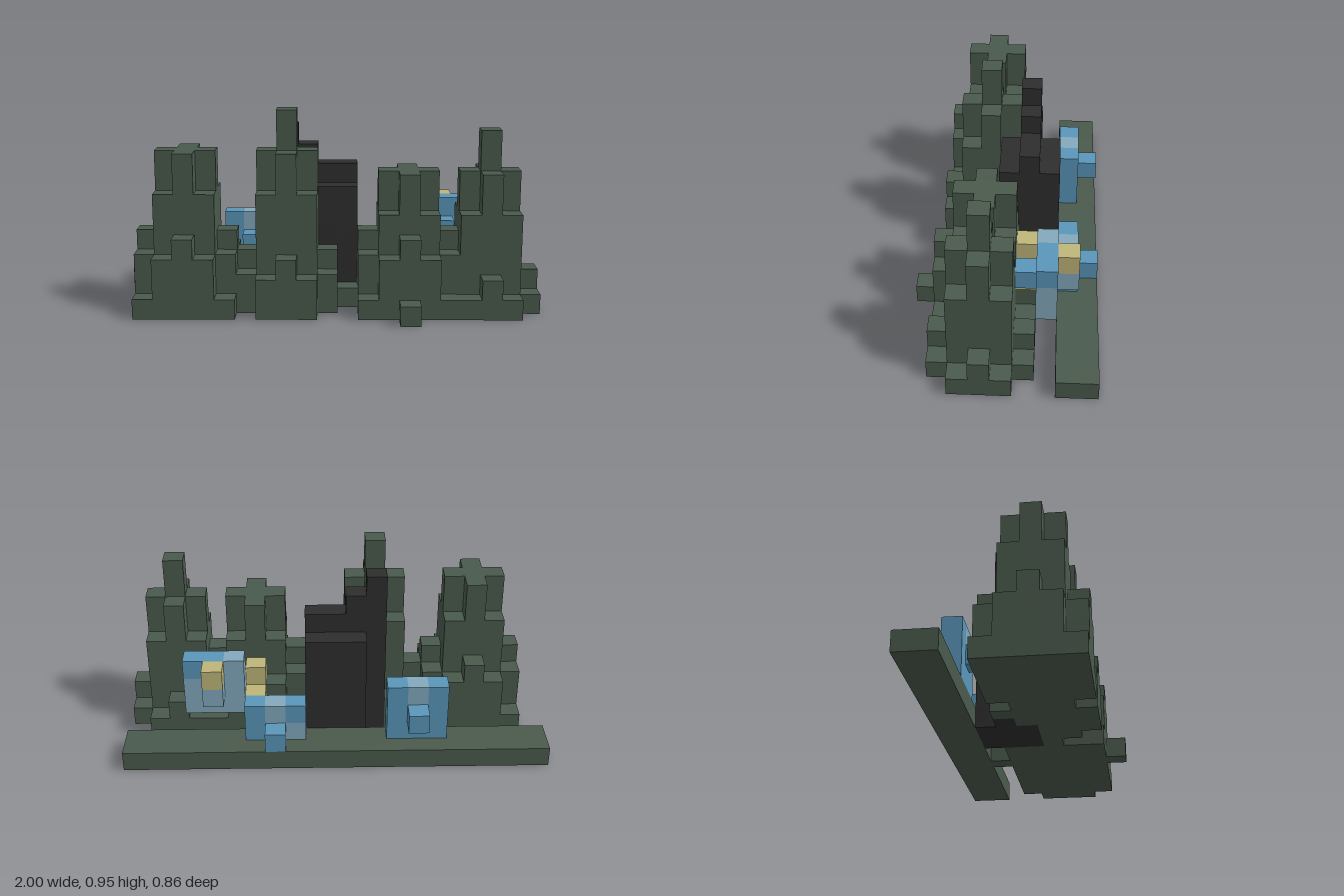
import * as THREE from 'three';
import { mergeGeometries } from 'three/addons/utils/BufferGeometryUtils.js';

const U = 2 / 21; // edge of one cube; the grid is 21 wide, 10 high, 9 deep

const mat = (name, color) => {
  const m = new THREE.MeshStandardMaterial({ color });
  m.name = name;
  return m;
};

export function createModel() {
  const materials = {
    green: mat('darkGreen', 0x4a5a4d),
    black: mat('charcoal', 0x2e2e2e),
    blue: mat('blue', 0x5a96ba),
    light: mat('paleBlue', 0x83a9bd),
    tan: mat('sand', 0xbfb67a),
  };
  const cells = new Map();
  const key = (x, y, z) => `${x},${y},${z}`;

  // Fill a block of cubes; a later block replaces an earlier one
  const fill = (part, color, x, y, z, w = 1, h = 1, d = 1) => {
    for (let i = x; i < x + w; i++)
      for (let j = y; j < y + h; j++)
        for (let k = z; k < z + d; k++)
          cells.set(key(i, j, k), { part, color, p: [i, j, k] });
  };

  // Stepped tree: heights are listed by distance from the trunk
  const tree = (part, cx, h) => {
    const cz = 5;
    for (let dx = -3; dx <= 3; dx++)
      for (let dz = -3; dz <= 3; dz++) {
        const a = Math.max(Math.abs(dx), Math.abs(dz));
        const b = Math.min(Math.abs(dx), Math.abs(dz));
        const height = h[`${a}${b}`] || 0;
        if (height) fill(part, 'green', cx + dx, 0, cz + dz, 1, height, 1);
      }
  };
  tree('farRightTree', 3, { '00': 8, 10: 8, 11: 6, 20: 4, 21: 3, 22: 1 });
  tree('tallTree', 8, { '00': 10, 10: 8, 11: 6, 20: 3, 21: 2 });
  // The wide tree comes last so its branches cover the neighbouring foot
  tree('farLeftTree', 18, { '00': 9, 10: 7, 11: 5, 20: 2, 21: 1 });
  const spread = { '00': 7, 10: 7, 11: 5, 20: 4, 21: 3, 22: 1, 30: 1 };
  tree('wideTree', 14, spread);
  // Restore the far left tree where the wide one reached inside it
  fill('farLeftTree', 'green', 17, 0, 5, 1, 7, 1);
  // Foot corners beside the far left tree
  for (const k of [3, 7]) fill('farLeftTree', 'green', 17, 0, k);

  // Back ledge
  fill('backLedge', 'green', 0, 0, 0, 21, 1, 2);

  // Dark tower with rising steps
  fill('darkTower', 'black', 9, 0, 2, 3, 6, 3);
  fill('darkTower', 'black', 10, 6, 3, 2, 1, 1);
  fill('darkTower', 'black', 9, 6, 3, 1, 2, 1);
  fill('darkTower', 'black', 8, 0, 3, 1, 9, 1);

  // Blue blooms: a 3 x 3 panel with a nub on both sides
  const bloom = (part, cx, cy, cz, bottom = cy - 1) => {
    fill(part, 'blue', cx - 1, bottom, cz, 3, cy + 2 - bottom, 1);
    fill(part, 'blue', cx, cy, cz - 1, 1, 1, 3);
  };
  bloom('rightBloom', 6, 2, 1);
  fill('rightBloom', 'light', 6, 3, 1);
  bloom('middleBloom', 13, 1, 1, 1);
  fill('middleBloom', 'light', 13, 2, 1);
  fill('middleBloom', 'light', 12, 1, 1);
  bloom('leftBloom', 16, 3, 2);
  fill('leftBloom', 'light', 15, 2, 2, 3, 2, 1);
  fill('leftBloom', 'light', 15, 4, 2);
  fill('leftBloom', 'light', 16, 3, 1);

  // Sandy fruit
  fill('fruit', 'tan', 16, 4, 1);
  fill('fruit', 'tan', 14, 1, 2, 1, 2, 1);
  fill('fruit', 'tan', 14, 2, 3, 1, 2, 1);
  fill('fruit', 'tan', 15, 2, 3);

  // Only the outer faces of the cubes are kept
  const faces = [
    [1, 0, 0, 0, Math.PI / 2], [-1, 0, 0, 0, -Math.PI / 2],
    [0, 1, 0, -Math.PI / 2, 0], [0, -1, 0, Math.PI / 2, 0],
    [0, 0, 1, 0, 0], [0, 0, -1, 0, Math.PI],
  ].map(([x, y, z, rx, ry]) => ({
    n: [x, y, z],
    geo: new THREE.PlaneGeometry(U, U).rotateX(rx).rotateY(ry).translate(x * U / 2, y * U / 2, z * U / 2),
  }));

  const parts = new Map();
  for (const { part, color, p: [i, j, k] } of cells.values())
    for (const { n, geo } of faces) {
      if (cells.has(key(i + n[0], j + n[1], k + n[2]))) continue;
      if (!parts.has(part)) parts.set(part, {});
      const byColor = parts.get(part);
      (byColor[color] ||= []).push(
        geo.clone().translate((i - 10) * U, (j + 0.5) * U, (k - 4) * U));
    }

  const model = new THREE.Group();
  model.name = 'blockForest';
  for (const [part, byColor] of parts) {
    const group = new THREE.Group();
    group.name = part;
    for (const color in byColor) {
      const mesh = new THREE.Mesh(mergeGeometries(byColor[color]), materials[color]);
      mesh.name = `${part}_${materials[color].name}`;
      group.add(mesh);
    }
    model.add(group);
  }
  return model;
}
